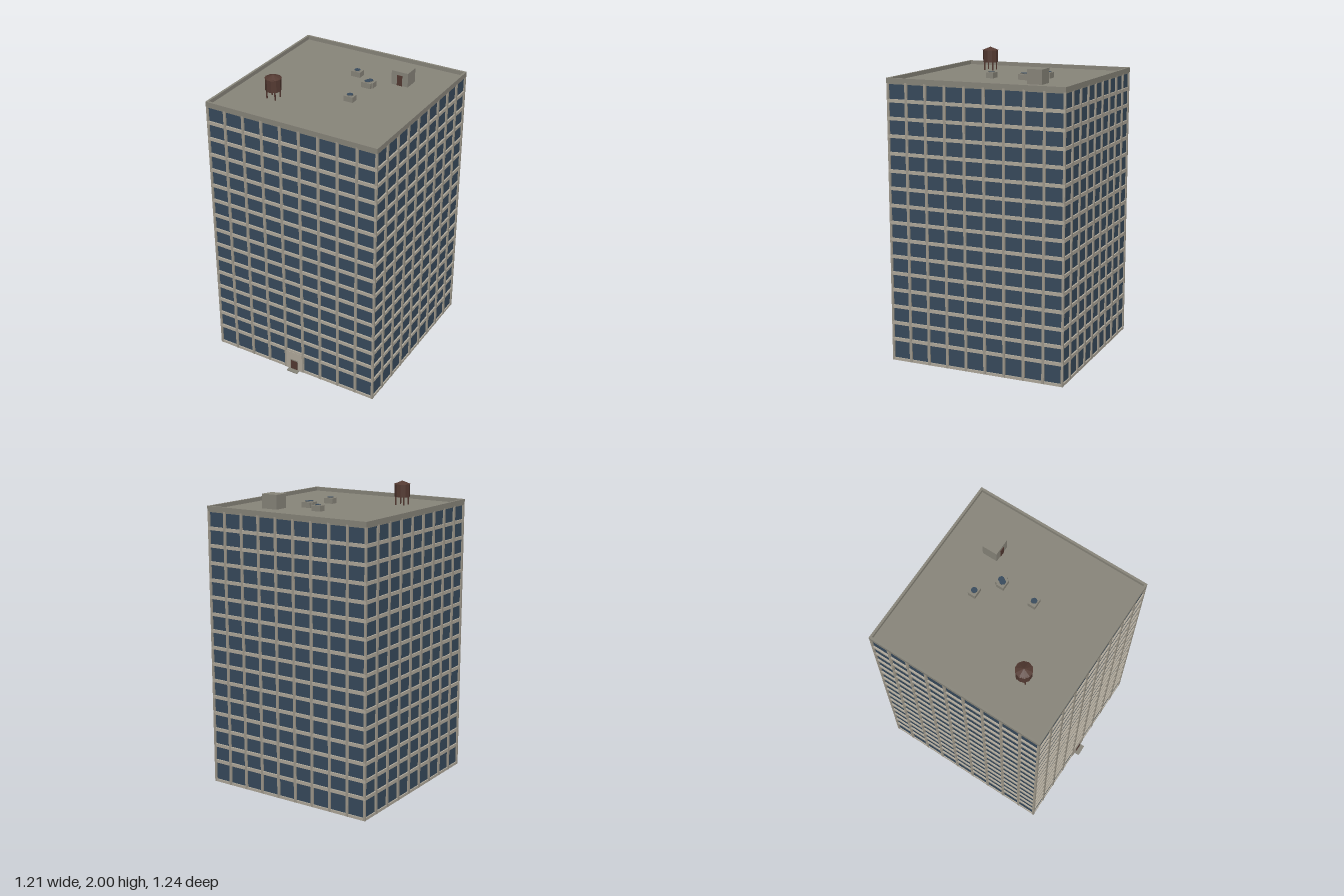
import * as THREE from 'three';

const mat = (name, color) => {
  const m = new THREE.MeshStandardMaterial({ color });
  m.name = name;
  return m;
};

export function createModel() {
  const concrete = mat('concrete', 0x89867b);
  const stone = mat('paleStone', 0xb1aa9c);
  const frame = mat('frameStone', 0xa09a8d);
  const glass = mat('blueGlass', 0x384b5d);
  const wood = mat('brownWood', 0x543a32);
  const model = new THREE.Group();
  model.name = 'officeTower';

  const add = (parent, name, geometry, material, x, y, z) => {
    const mesh = new THREE.Mesh(geometry, material);
    mesh.name = name;
    mesh.position.set(x, y, z);
    parent.add(mesh);
    return mesh;
  };
  // Box given by its centre in x and z and its bottom and top heights
  const box = (parent, name, material, x, z, w, d, y0, y1) =>
    add(parent, name, new THREE.BoxGeometry(w, y1 - y0, d), material, x, (y0 + y1) / 2, z);
  const group = (name, x, y, z) => {
    const g = new THREE.Group();
    g.name = name;
    g.position.set(x, y, z);
    model.add(g);
    return g;
  };

  const roofY = 1.842, bays = 9, floors = 16, half = 0.6, firstFloor = 0.147;
  const floorStep = (1.837 - firstFloor) / (floors - 1);

  // Tower body: glass core wrapped by floor ledges and vertical mullions
  const tower = group('tower', 0, 0, -0.018);
  box(tower, 'glassCore', glass, 0, 0, 1.184, 1.184, 0.004, 1.83);
  box(tower, 'basePlinth', stone, 0, 0, 1.2, 1.2, 0, 0.018);
  for (let i = 0; i < floors - 1; i++) {
    const y = firstFloor + i * floorStep;
    box(tower, 'floorLedge', stone, 0, 0, 1.204, 1.204, y - 0.011, y + 0.011);
  }
  for (let side = 0; side < 4; side++) {
    const facade = new THREE.Group();
    facade.name = 'facadeMullions';
    facade.rotation.y = side * Math.PI / 2;
    tower.add(facade);
    for (let i = 1; i < bays; i++) {
      box(facade, 'mullion', frame, -half + i * 2 * half / bays, 0.595, 0.017, 0.015, 0.001, 1.84);
    }
    box(facade, 'cornerPost', frame, half - 0.005, half - 0.005, 0.014, 0.014, 0.001, 1.84);
  }

  // Roof slab and parapet
  box(tower, 'roofSlab', concrete, 0, 0, 1.2, 1.2, 1.829, roofY);
  for (const s of [-1, 1]) {
    box(tower, 'parapet', concrete, 0, s * 0.595, 1.205, 0.015, 1.836, 1.868);
    box(tower, 'parapet', concrete, s * 0.595, 0, 0.015, 1.175, 1.836, 1.868);
  }

  // Street entrance
  const entrance = group('entrance', 0, 0, 0.58);
  box(entrance, 'entranceWall', stone, 0, 0, 0.122, 0.012, 0.001, 0.143);
  box(entrance, 'doorFrame', concrete, 0, 0.003, 0.06, 0.008, 0.001, 0.083);
  box(entrance, 'door', wood, 0, 0.004, 0.05, 0.008, 0.005, 0.075);
  box(entrance, 'doorStep', concrete, 0, 0.02, 0.08, 0.036, 0, 0.006);

  // Stairwell hut on the roof
  const hut = group('roofHut', 0.298, 0, -0.318);
  box(hut, 'hutWalls', concrete, 0, 0, 0.116, 0.102, roofY, 1.936);
  box(hut, 'hutDoor', wood, 0, 0.052, 0.036, 0.006, roofY, 1.912);

  // Ventilation units
  for (const [x, z] of [[-0.008, -0.264], [0.13, -0.151], [0.14, -0.167], [0.13, 0.075]]) {
    const vent = group('ventUnit', x, 0, z);
    box(vent, 'ventBox', concrete, 0, 0, 0.066, 0.051, roofY, 1.878);
    add(vent, 'fanRim', new THREE.CylinderGeometry(0.021, 0.021, 0.006, 10), concrete, 0, 1.88, 0);
    add(vent, 'fan', new THREE.CylinderGeometry(0.02, 0.02, 0.004, 10), glass, 0, 1.8825, 0);
  }

  // Water tank on four legs, with flat staves
  const tank = group('waterTank', -0.3, 0, 0.281);
  tank.rotation.y = Math.PI / 2;
  const faceted = (g) => {
    const f = g.toNonIndexed();
    f.computeVertexNormals();
    return f;
  };
  add(tank, 'tankBody', faceted(new THREE.CylinderGeometry(0.051, 0.051, 0.085, 10)), wood, 0, 1.9375, 0);
  add(tank, 'tankRoof', faceted(new THREE.ConeGeometry(0.055, 0.022, 10)), wood, 0, 1.989, 0);
  for (const sx of [-1, 1]) {
    for (const sz of [-1, 1]) {
      box(tank, 'tankLeg', wood, sx * 0.03, sz * 0.03, 0.007, 0.007, roofY, 1.9);
    }
  }

  return model;
}
